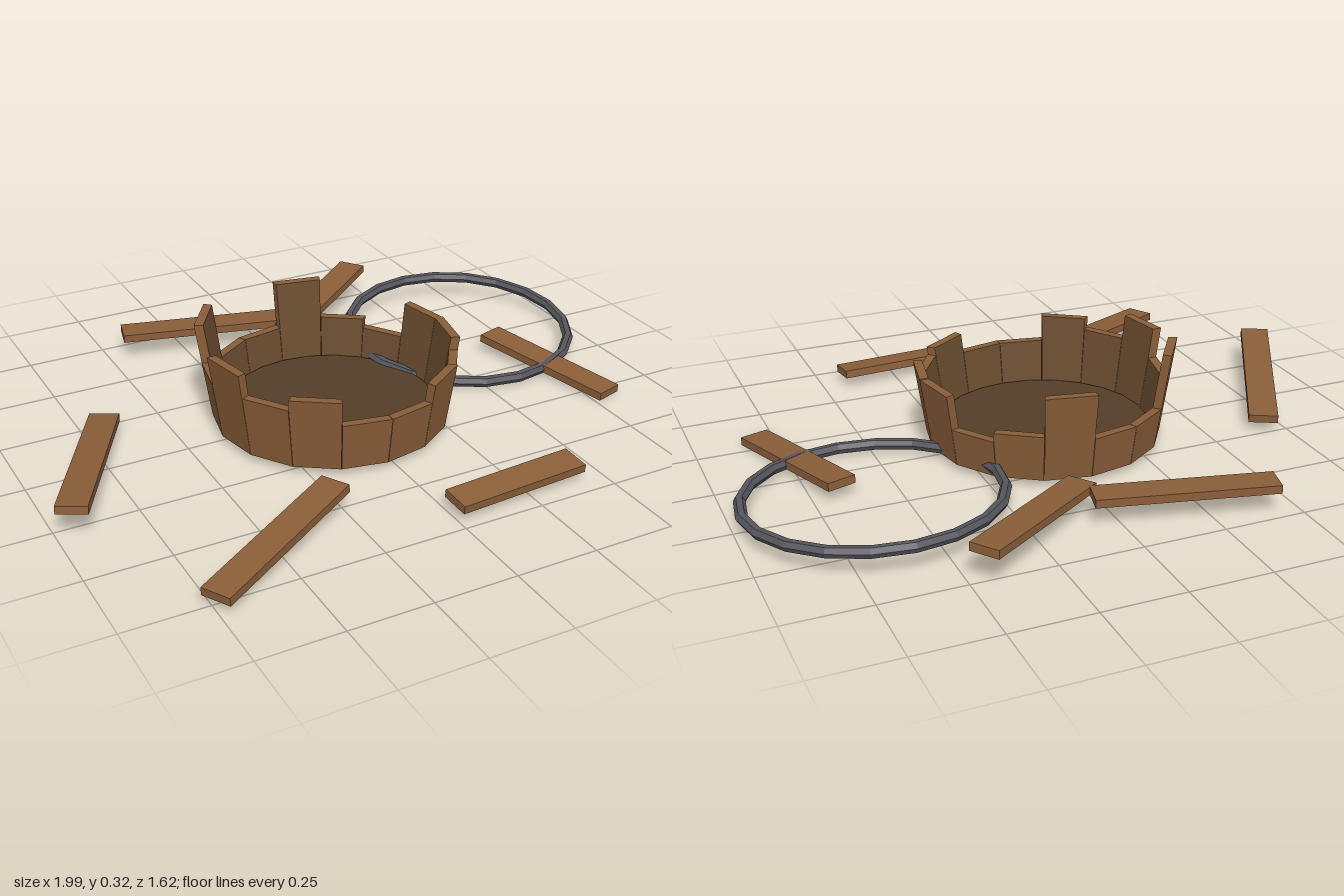
import * as THREE from 'three';

function material(name, color) {
  const m = new THREE.MeshStandardMaterial({ color });
  m.name = name;
  return m;
}

export function createModel() {
  const wood = material('wood', 0x8a5e39);
  const innerWood = material('innerWood', 0x6b4c30);
  const floorWood = material('floorWood', 0x543e28);
  const iron = material('iron', 0x55555d);
  const model = new THREE.Group();

  // Broken tub: staves leaning outwards, snapped off at different heights
  const tub = new THREE.Group();
  tub.name = 'brokenTub';
  tub.position.set(-0.03, 0, 0.012);
  model.add(tub);

  // Top of each stave, counted from the front towards +x
  const tops = [0.175, 0.235, 0.21, 0.252, 0.25, 0.14, 0.17, 0.295,
    0.15, 0.15, 0.325, 0.2, 0.295, 0.22, 0.255, 0.175];
  const step = (Math.PI * 2) / tops.length;
  const base = 0.022;
  tops.forEach((top, i) => {
    const geo = new THREE.BoxGeometry(1, 1, 1);
    const p = geo.attributes.position;
    for (let v = 0; v < p.count; v++) {
      const angle = (i + 0.5 + p.getX(v) * 0.99) * step;
      const y = p.getY(v) > 0 ? top : base;
      const r = 0.363 + 0.15 * (y - base) - (p.getZ(v) > 0 ? 0 : 0.028);
      p.setXYZ(v, Math.sin(angle) * r, y, Math.cos(angle) * r);
    }
    geo.computeVertexNormals();
    const stave = new THREE.Mesh(geo, [wood, wood, wood, wood, wood, innerWood]);
    stave.name = 'stave';
    tub.add(stave);
  });

  // Tub floor
  const floor = new THREE.Mesh(new THREE.CylinderGeometry(0.328, 0.328, 0.02, 24), floorWood);
  floor.name = 'tubFloor';
  floor.position.y = 0.036;
  tub.add(floor);

  // Fallen hoop, leaning slightly up at the back
  const hoopGeo = new THREE.TorusGeometry(0.372, 0.0175, 6, 20).toNonIndexed();
  hoopGeo.computeVertexNormals();
  const hoop = new THREE.Mesh(hoopGeo, iron);
  hoop.name = 'fallenHoop';
  hoop.rotation.x = Math.PI / 2 + 0.065;
  hoop.position.set(0.603, 0.052, -0.262);
  model.add(hoop);

  // Loose planks, each laid between the middles of its two ends
  const planks = [
    [[-0.447, 0.077, -0.687], [0.067, 0.075, -0.561], 0],
    [[0.056, 0.072, -0.468], [0.468, 0.106, -0.773], 0],
    [[-0.676, 0.04, -0.233], [-0.96, 0.096, 0.31], 0],
    [[-0.26, 0.074, 0.484], [-0.746, 0.037, 0.767], 0],
    [[0.008, 0.044, 0.677], [0.433, 0.044, 0.647], 0.1],
    [[0.666, 0.05, -0.163], [0.81, 0.014, 0.313], 0],
  ];
  for (const [a, b, roll] of planks) {
    const from = new THREE.Vector3(...a);
    const to = new THREE.Vector3(...b);
    const plank = new THREE.Mesh(new THREE.BoxGeometry(0.091, 0.025, from.distanceTo(to)), wood);
    plank.name = 'loosePlank';
    plank.position.copy(from).lerp(to, 0.5);
    plank.lookAt(to);
    plank.rotateZ(roll);
    model.add(plank);
  }
  return model;
}
